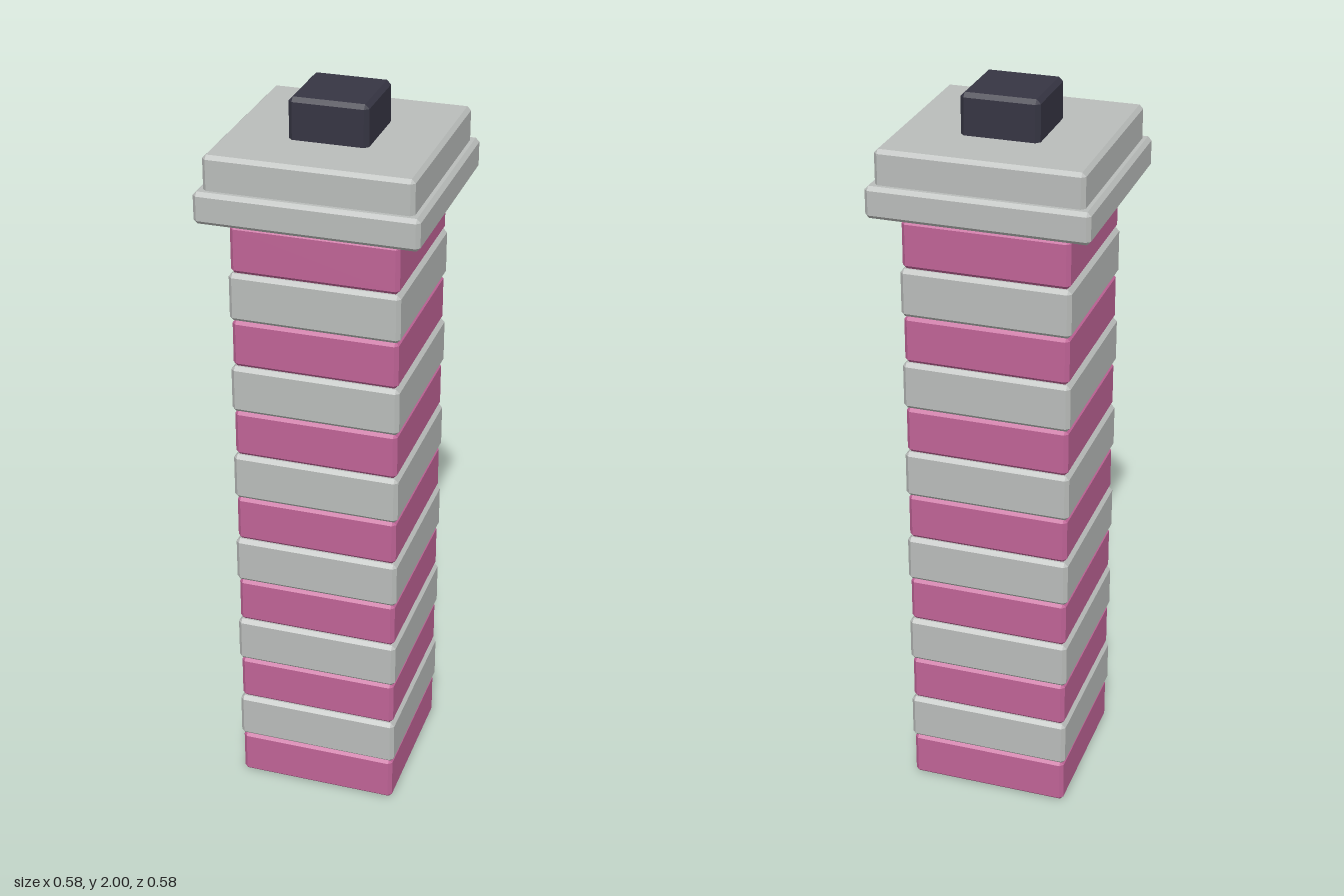
import * as THREE from 'three';
import { ConvexGeometry } from 'three/addons/geometries/ConvexGeometry.js';

// Square block standing between y0 and y1, with every edge and corner chamfered by b
function chamferedBlock(half, y0, y1, b) {
  const h = (y1 - y0) / 2;
  const points = [];
  for (const sx of [-1, 1]) for (const sy of [-1, 1]) for (const sz of [-1, 1]) {
    points.push(
      new THREE.Vector3(sx * half, sy * (h - b), sz * (half - b)),
      new THREE.Vector3(sx * (half - b), sy * h, sz * (half - b)),
      new THREE.Vector3(sx * (half - b), sy * (h - b), sz * half)
    );
  }
  return new ConvexGeometry(points).translate(0, (y0 + y1) / 2, 0);
}

export function createModel() {
  const model = new THREE.Group();
  model.name = 'stripedPillar';

  const material = (name, color) => {
    const m = new THREE.MeshStandardMaterial({ color });
    m.name = name;
    return m;
  };
  const pink = material('pink', 0xc06497);
  const grey = material('stoneGrey', 0xbabdbb);
  const dark = material('darkSlate', 0x363543);

  const add = (name, mat, half, y0, y1, b = 0.01) => {
    const mesh = new THREE.Mesh(chamferedBlock(half, y0, y1, b), mat);
    mesh.name = name;
    model.add(mesh);
  };

  // Shaft: alternating pink and grey courses
  const pitch = 0.1305;
  for (let i = 0; i < 13; i++) {
    const isPink = i % 2 === 0;
    add(isPink ? 'pinkCourse' : 'greyCourse', isPink ? pink : grey,
      isPink ? 0.22 : 0.225, i * pitch, (i + 1) * pitch);
  }

  // Neck under the cap
  add('neck', grey, 0.224, 13 * pitch, 1.76);

  // Stepped cap and the dark knob on top
  add('capRim', grey, 0.288, 1.718, 1.802);
  add('capSlab', grey, 0.268, 1.785, 1.892);
  add('topKnob', dark, 0.103, 1.87, 2, 0.011);

  return model;
}
